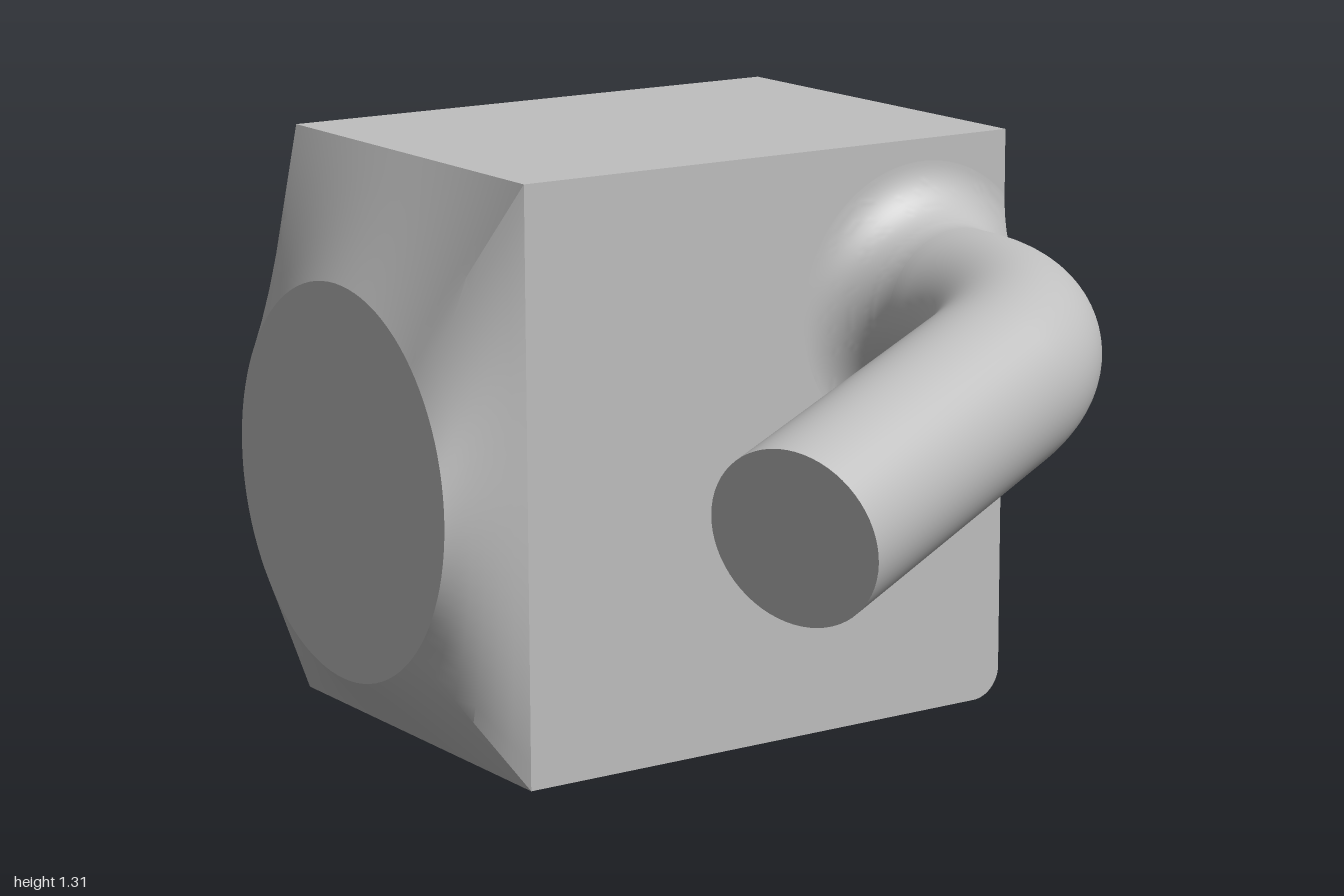
import * as THREE from 'three';
import { toCreasedNormals } from 'three/addons/utils/BufferGeometryUtils.js';

const LEFT = -0.54, RIGHT = 0.72, TOP = 1.31, BACK = -1, FRONT = -0.04;
const PIPE_X = 0.49, PIPE_Y = 0.94, PIPE_R = 0.19;

// Pipe centreline: short straight, bend, long straight
class PipeCurve extends THREE.Curve {
  constructor() {
    super();
    this.lead = 0.173;
    this.bend = 0.43;
    this.angle = 1.181;
    this.tail = 0.775;
    this.side = new THREE.Vector3(-0.977, -0.215, 0).normalize();
    this.forward = new THREE.Vector3(0, 0, 1);
  }
  getPoint(t, target = new THREE.Vector3()) {
    const arc = this.bend * this.angle;
    const s = t * (this.lead + arc + this.tail);
    const a = THREE.MathUtils.clamp((s - this.lead) / this.bend, 0, this.angle);
    const rest = Math.max(0, s - this.lead - arc);
    const across = this.bend * (1 - Math.cos(a)) + rest * Math.sin(a);
    const along = Math.min(s, this.lead) + this.bend * Math.sin(a) + rest * Math.cos(a);
    return target.set(PIPE_X, PIPE_Y, FRONT)
      .addScaledVector(this.side, across).addScaledVector(this.forward, along);
  }
}

// Block with one rounded lower edge
function blockGeometry() {
  const r = 0.07, s = new THREE.Shape();
  s.moveTo(LEFT, 0);
  s.lineTo(RIGHT - r, 0);
  s.absarc(RIGHT - r, r, r, -Math.PI / 2, 0, false);
  s.lineTo(RIGHT, TOP);
  s.lineTo(LEFT, TOP);
  s.closePath();
  const g = new THREE.ExtrudeGeometry(s, { depth: FRONT - BACK, bevelEnabled: false, curveSegments: 16 });
  g.translate(0, 0, BACK);
  return toCreasedNormals(g, 0.5);
}

// Ruled transition from the rectangular side to a round end
function transitionGeometry(x1, cy, cz, radius) {
  const corners = [[FRONT, 0], [FRONT, TOP], [BACK, TOP], [BACK, 0]];
  const perSide = 24, rows = 6, n = perSide * 4;
  const pos = [], index = [];
  for (let j = 0; j <= rows; j++) {
    const t = j / rows;
    for (let i = 0; i < n; i++) {
      const k = Math.floor(i / perSide), f = (i % perSide) / perSide;
      const p = corners[k], q = corners[(k + 1) % 4];
      const a = -Math.PI / 4 + (i / n) * Math.PI * 2;
      const z0 = p[0] + (q[0] - p[0]) * f, y0 = p[1] + (q[1] - p[1]) * f;
      pos.push(
        LEFT + (x1 - LEFT) * t,
        y0 + (cy + radius * Math.sin(a) - y0) * t,
        z0 + (cz + radius * Math.cos(a) - z0) * t);
      if (j < rows) {
        const A = j * n + i, B = j * n + (i + 1) % n;
        index.push(A, B, A + n, B, B + n, A + n);
      }
    }
  }
  const g = new THREE.BufferGeometry();
  g.setAttribute('position', new THREE.Float32BufferAttribute(pos, 3));
  g.setIndex(index);
  return toCreasedNormals(g, 0.5);
}

// Flared fillet at the pipe root, trimmed flush with the block's side
function filletGeometry() {
  const f = 0.13, pts = [];
  for (let i = 0; i <= 20; i++) {
    const a = (i / 20) * Math.PI / 2;
    pts.push(new THREE.Vector2(PIPE_R + f - f * Math.sin(a), f - f * Math.cos(a)));
  }
  const g = new THREE.LatheGeometry(pts, 128);
  g.rotateX(Math.PI / 2);
  const p = g.attributes.position, limit = RIGHT - PIPE_X;
  for (let i = 0; i < p.count; i++) {
    const x = p.getX(i);
    if (x > limit) p.setXY(i, limit, p.getY(i) * limit / x);
  }
  g.translate(PIPE_X, PIPE_Y, FRONT);
  return toCreasedNormals(g, 0.5);
}

export function createModel() {
  const group = new THREE.Group();
  const grey = new THREE.MeshStandardMaterial({ color: 0xbfbfbf });
  grey.name = 'grey';
  const add = (name, geometry) => {
    const mesh = new THREE.Mesh(geometry, grey);
    mesh.name = name;
    group.add(mesh);
    return mesh;
  };

  add('block', blockGeometry());

  // Round end on the side
  const endX = -0.72, endY = 0.605, endZ = -0.52, endR = 0.44;
  add('sideTransition', transitionGeometry(endX, endY, endZ, endR));
  const disc = add('sideRoundEnd', new THREE.CircleGeometry(endR, 96));
  disc.rotation.y = -Math.PI / 2;
  disc.position.set(endX, endY, endZ);

  // Bent pipe with its root fillet and flat end
  const curve = new PipeCurve();
  add('pipe', new THREE.TubeGeometry(curve, 96, PIPE_R, 64, false));
  add('pipeFillet', filletGeometry());
  const cap = add('pipeEnd', new THREE.CircleGeometry(PIPE_R, 64));
  const end = curve.getPoint(1);
  cap.position.copy(end);
  cap.quaternion.setFromUnitVectors(new THREE.Vector3(0, 0, 1), curve.getTangent(1));

  return group;
}
